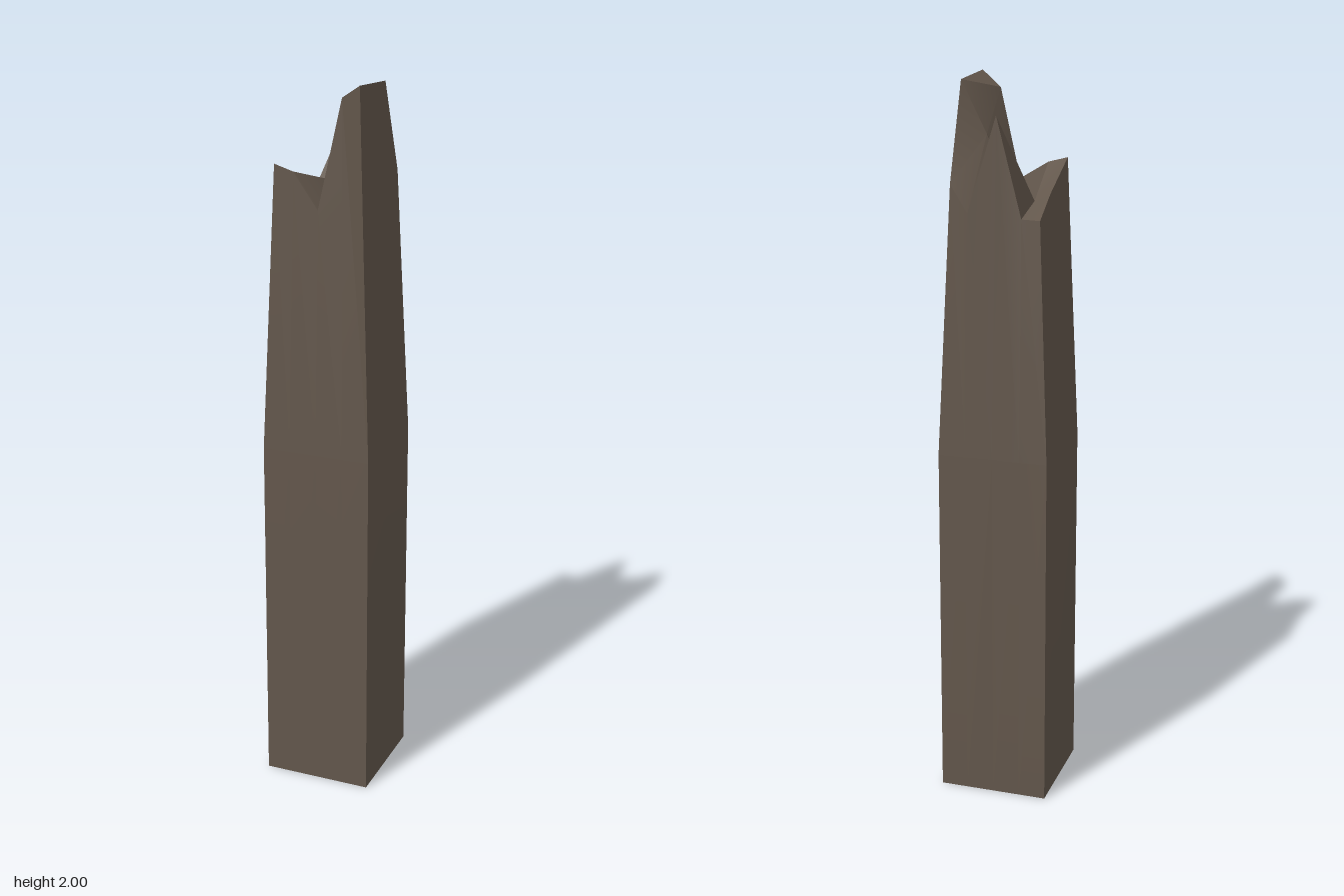
import * as THREE from 'three';
import { toCreasedNormals } from 'three/addons/utils/BufferGeometryUtils.js';

const HALF = 0.153;   // half width of the square post
const SHOULDER = 1.0; // height where the taper begins

// Splintered top: rows run back to front, columns run from -x to +x
const BROKEN_TOP = [
  [[-0.12, 1.65, -0.115], [-0.067, 1.65, -0.108], [0, 1.915, -0.112], [0.067, 1.665, -0.148], [0.122, 1.735, -0.125]],
  [[-0.113, 1.7, 0], [-0.07, 1.68, 0], [0, 1.72, 0], [0.062, 1.85, 0], [0.133, 1.99, 0]],
  [[-0.125, 1.78, 0.123], [-0.07, 1.765, 0.127], [0, 1.67, 0.13], [0.06, 1.96, 0.113], [0.123, 2, 0.15]],
];

// Outline of the grid as [column, row], counter-clockwise seen from above
const OUTLINE = [
  [0, 2], [1, 2], [2, 2], [3, 2], [4, 2], [4, 1],
  [4, 0], [3, 0], [2, 0], [1, 0], [0, 0], [0, 1],
];

function build(triangles) {
  const geometry = new THREE.BufferGeometry();
  geometry.setAttribute('position', new THREE.Float32BufferAttribute(triangles.flat(2), 3));
  return toCreasedNormals(geometry, THREE.MathUtils.degToRad(28));
}

export function createModel() {
  const wood = new THREE.MeshStandardMaterial({ color: 0x62564b });
  wood.name = 'weathered brown wood';
  const group = new THREE.Group();
  group.name = 'brokenPost';

  const add = (name, geometry) => {
    const mesh = new THREE.Mesh(geometry, wood);
    mesh.name = name;
    group.add(mesh);
  };

  const square = ([c, r], y) => [(c / 2 - 1) * HALF, y, (r - 1) * HALF];
  const top = ([c, r]) => BROKEN_TOP[r][c];

  // Straight lower post and tapered upper walls
  const walls = [];
  OUTLINE.forEach((p, i) => {
    const q = OUTLINE[(i + 1) % OUTLINE.length];
    const a0 = square(p, 0), b0 = square(q, 0);
    const a1 = square(p, SHOULDER), b1 = square(q, SHOULDER);
    const a2 = top(p), b2 = top(q);
    walls.push([a0, b0, b1], [a0, b1, a1]);
    if (p[1] === q[1]) walls.push([a1, b1, a2], [b1, b2, a2]); // front and back
    else walls.push([a1, b1, b2], [a1, b2, a2]);               // sides
  });
  add('postWalls', build(walls));

  // Jagged broken surface
  const cap = [];
  for (let r = 0; r < 2; r++) {
    for (let c = 0; c < 4; c++) {
      const a = top([c, r]), b = top([c, r + 1]);
      const d = top([c + 1, r]), e = top([c + 1, r + 1]);
      cap.push([a, b, d], [b, e, d]);
    }
  }
  add('splinteredTop', build(cap));

  // Underside
  const [f, g, h, k] = [[0, 2], [4, 2], [4, 0], [0, 0]].map((p) => square(p, 0));
  add('postBase', build([[f, h, g], [f, k, h]]));

  return group;
}
